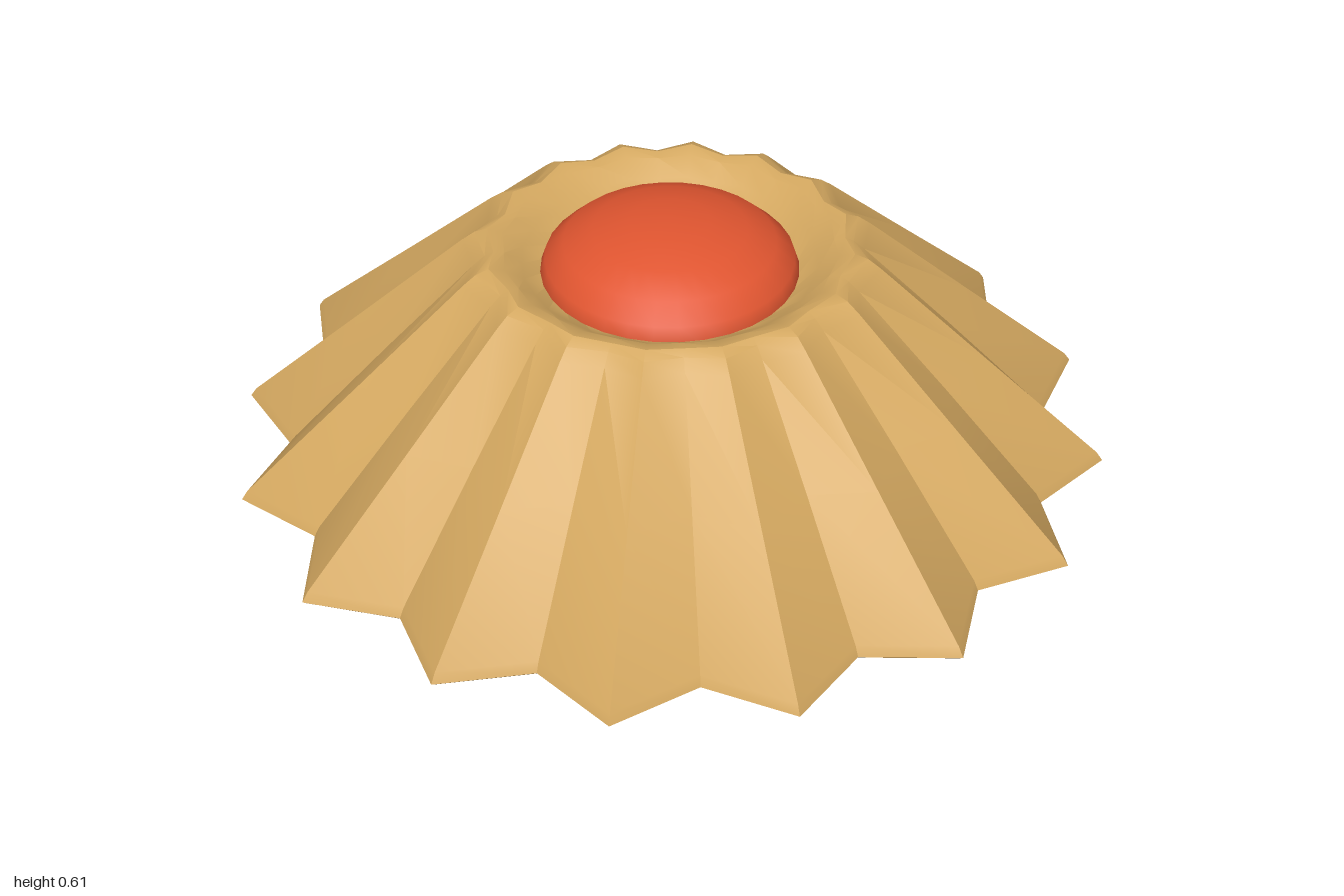
import * as THREE from 'three';
import { toCreasedNormals } from 'three/addons/utils/BufferGeometryUtils.js';

const POINTS = 16;

export function createModel() {
  const model = new THREE.Group();
  model.name = 'pleatedMound';

  const tan = new THREE.MeshStandardMaterial({ color: 0xd4a860 });
  tan.name = 'sandy tan';
  const red = new THREE.MeshStandardMaterial({ color: 0xe05530 });
  red.name = 'orange red';

  // Rings from base centre to bowl floor: [ridge radius, ridge y, valley radius, valley y]
  const rings = [
    [0, 0, 0, 0],
    [1.0, 0, 0.88, 0],
    [1.02, 0.015, 0.897, 0.015],
    [1.005, 0.037, 0.885, 0.037],
    [0.73, 0.285, 0.655, 0.285],
    [0.48, 0.512, 0.445, 0.505],
    [0.45, 0.536, 0.42, 0.528],
    [0.42, 0.547, 0.4, 0.538],
    [0.385, 0.538, 0.375, 0.534],
    [0.34, 0.505, 0.335, 0.503],
    [0.29, 0.475, 0.29, 0.475],
    [0, 0.46, 0, 0.46],
  ];

  // Pleated body: a lathe whose alternate meridians follow the valley profile
  const profile = rings.map(([r, y]) => new THREE.Vector2(r, y));
  const body = new THREE.LatheGeometry(profile, POINTS * 2);
  const pos = body.attributes.position;
  for (let i = 0; i < pos.count; i++) {
    const meridian = Math.floor(i / rings.length);
    const [rr, ry, vr, vy] = rings[i % rings.length];
    const ridge = meridian % 2 === 1;
    const angle = ((meridian % (POINTS * 2)) * Math.PI) / POINTS;
    const r = ridge ? rr : vr;
    pos.setXYZ(i, r * Math.sin(angle), ridge ? ry : vy, r * Math.cos(angle));
  }
  const mound = new THREE.Mesh(toCreasedNormals(body, 0.5), tan);
  mound.name = 'pleatedBody';
  model.add(mound);

  // Flattened dome resting in the bowl
  const domeGeometry = new THREE.SphereGeometry(0.3, 32, 10);
  domeGeometry.scale(1, 0.145 / 0.3, 1);
  const dome = new THREE.Mesh(domeGeometry, red);
  dome.position.y = 0.465;
  dome.name = 'centreDome';
  model.add(dome);

  return model;
}
